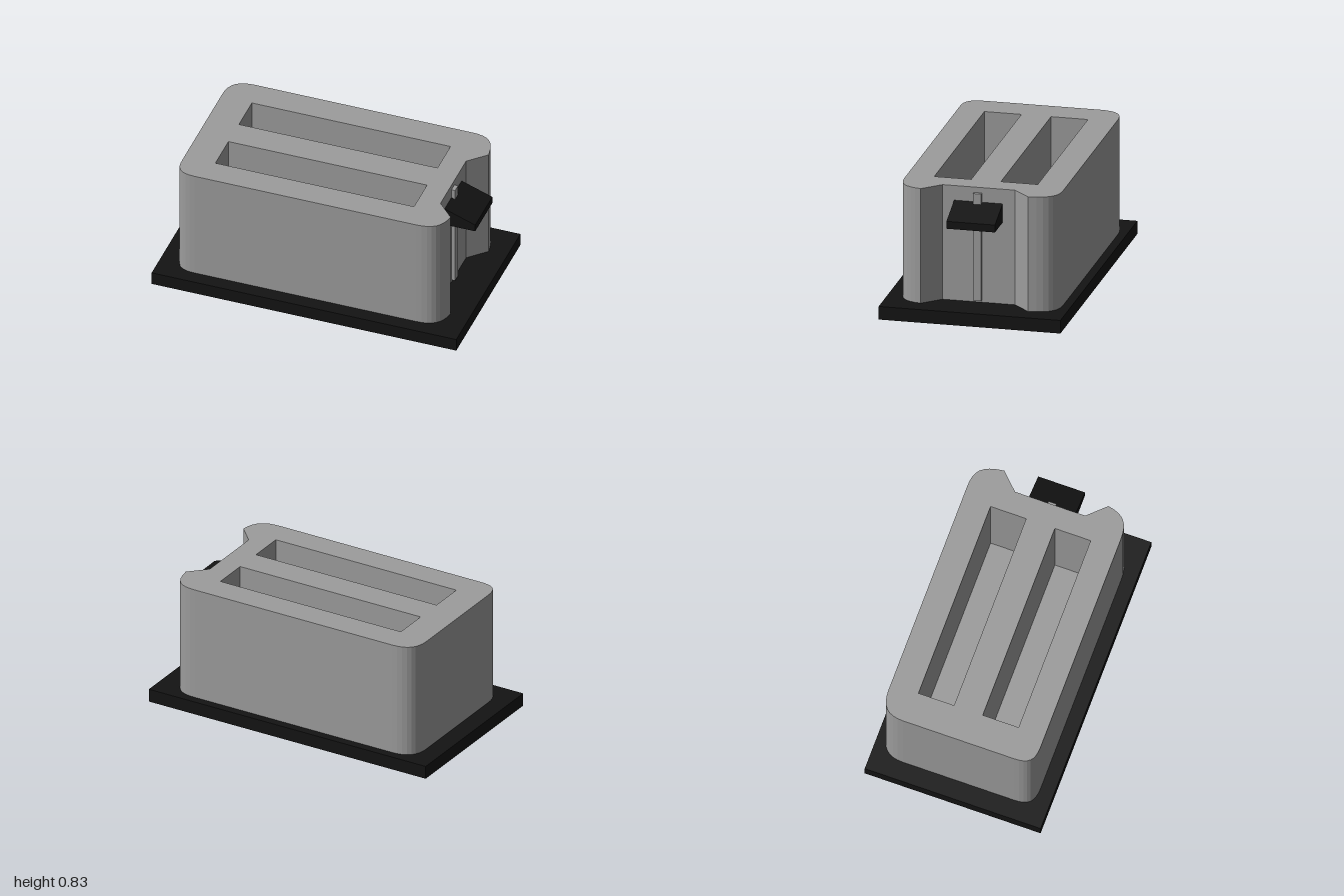
import * as THREE from 'three';

const BASE_TOP = 0.085, BODY_TOP = 0.83, SLOT_FLOOR = 0.17;

export function createModel() {
  const group = new THREE.Group();
  const grey = new THREE.MeshStandardMaterial({ color: 0x9c9c9c });
  const black = new THREE.MeshStandardMaterial({ color: 0x131313 });

  const add = (name, geometry, material) => {
    const mesh = new THREE.Mesh(geometry, material);
    mesh.name = name;
    group.add(mesh);
  };
  // Box given by its limits on each axis
  const box = (x0, x1, y0, y1, z0, z1) =>
    new THREE.BoxGeometry(x1 - x0, y1 - y0, z1 - z0)
      .translate((x0 + x1) / 2, (y0 + y1) / 2, (z0 + z1) / 2);

  // Base plate
  add('base', box(-1, 1, 0, BASE_TOP, -0.577, 0.577), black);

  // Body outline in plan (shape y = -z): rounded corners, recess at the lever end
  const outline = new THREE.Shape();
  outline.moveTo(-0.75, -0.487);
  outline.lineTo(0.7, -0.487);
  outline.bezierCurveTo(0.81, -0.487, 0.86, -0.45, 0.877, -0.34);
  outline.lineTo(0.769, -0.227);
  outline.lineTo(0.769, 0.233);
  outline.lineTo(0.877, 0.342);
  outline.bezierCurveTo(0.86, 0.49, 0.81, 0.523, 0.7, 0.523);
  outline.lineTo(-0.72, 0.523);
  outline.bezierCurveTo(-0.83, 0.523, -0.88, 0.475, -0.88, 0.37);
  outline.lineTo(-0.88, -0.36);
  outline.bezierCurveTo(-0.88, -0.45, -0.85, -0.487, -0.75, -0.487);

  // Two bread slots, each with a floor
  const slots = [[-0.342, -0.108], [0.08, 0.315]];
  for (const [z0, z1] of slots) {
    outline.holes.push(new THREE.Path([
      new THREE.Vector2(-0.677, -z0), new THREE.Vector2(0.627, -z0),
      new THREE.Vector2(0.627, -z1), new THREE.Vector2(-0.677, -z1),
    ]).closePath());
    const floor = new THREE.PlaneGeometry(1.304, z1 - z0)
      .rotateX(-Math.PI / 2).translate(-0.025, SLOT_FLOOR, (z0 + z1) / 2);
    add('slotFloor', floor, grey);
  }
  const body = new THREE.ExtrudeGeometry(outline, {
    depth: BODY_TOP - BASE_TOP, bevelEnabled: false, curveSegments: 8,
  }).rotateX(-Math.PI / 2).translate(0, BASE_TOP, 0);
  add('body', body, grey);

  // Lever rail
  add('leverRail', box(0.765, 0.793, 0.1, 0.795, -0.023, 0.03), grey);

  // Wedge-shaped lever, sloping down away from the body
  const profile = new THREE.Shape([
    new THREE.Vector2(0.769, 0.614), new THREE.Vector2(0.97, 0.614),
    new THREE.Vector2(0.97, 0.662), new THREE.Vector2(0.769, 0.735),
  ]);
  const lever = new THREE.ExtrudeGeometry(profile, { depth: 0.308, bevelEnabled: false })
    .translate(0, 0, -0.154);
  add('lever', lever, black);

  return group;
}
